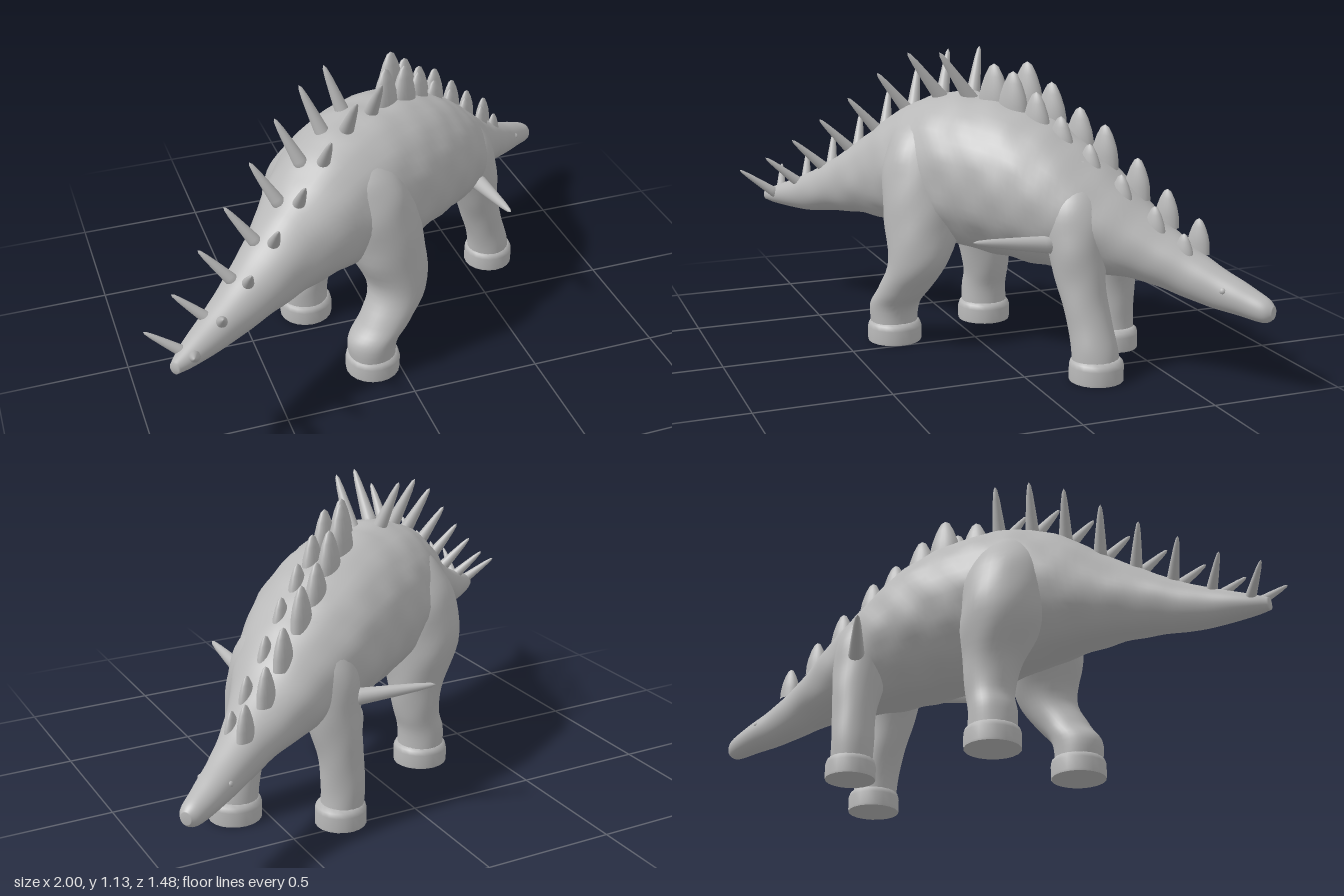
import * as THREE from 'three';

const skin = new THREE.MeshStandardMaterial({ color: 0xb8b8b8 });
skin.name = 'grey clay';

const FORWARD = new THREE.Vector3(0.82, 0, -0.57).normalize();
const SIDE = new THREE.Vector3(0.57, 0, 0.82).normalize();
const UP = new THREE.Vector3(0, 1, 0);
const X = new THREE.Vector3(1, 0, 0);
const Z = new THREE.Vector3(0, 0, 1);

// Smooth interpolation through rows of numbers
function resample(rows, steps) {
  const out = [];
  for (let s = 0; s <= steps; s++) {
    const f = (s / steps) * (rows.length - 1);
    const i = Math.min(Math.floor(f), rows.length - 2);
    const t = f - i;
    const [a, b, c, d] = [-1, 0, 1, 2].map(k => rows[THREE.MathUtils.clamp(i + k, 0, rows.length - 1)]);
    out.push(b.map((p, k) => p + 0.5 * t * (c[k] - a[k] +
      t * (2 * a[k] - 5 * p + 4 * c[k] - d[k] + t * (3 * (p - c[k]) + d[k] - a[k])))));
  }
  return out;
}

// Closed skin over elliptical rings [x, y, z, ru, rv], slightly lumpy
function loft(rows, u, v, steps, sides = 36) {
  const rings = resample(rows, steps);
  const pos = [], idx = [], p = new THREE.Vector3();
  rings.forEach(([x, y, z, ru, rv]) => {
    for (let j = 0; j < sides; j++) {
      const a = (j / sides) * Math.PI * 2;
      p.set(x, y, z).addScaledVector(u, ru * Math.cos(a)).addScaledVector(v, rv * Math.sin(a));
      const lump = 0.025 * Math.sin(p.x * 27 + 1) * Math.sin(p.y * 31) * Math.sin(p.z * 29 + 2);
      p.addScaledVector(u, ru * Math.cos(a) * lump).addScaledVector(v, rv * Math.sin(a) * lump);
      pos.push(p.x, p.y, p.z);
    }
  });
  const first = rings.length * sides, last = (rings.length - 1) * sides;
  pos.push(...rings[0].slice(0, 3), ...rings[rings.length - 1].slice(0, 3));
  for (let j = 0; j < sides; j++) {
    const k = (j + 1) % sides;
    for (let i = 0; i < rings.length - 1; i++) {
      const a = i * sides + j, b = i * sides + k;
      idx.push(a, a + sides, b, b, a + sides, b + sides);
    }
    idx.push(first, j, k, first + 1, last + k, last + j);
  }
  const g = new THREE.BufferGeometry();
  g.setAttribute('position', new THREE.Float32BufferAttribute(pos, 3));
  g.setIndex(idx);
  g.computeVertexNormals();
  return g;
}

// Unit-height profiles standing on the origin
const profile = pts => new THREE.LatheGeometry(pts.map(([r, y]) => new THREE.Vector2(r, y)), 20);
const spikeShape = profile([[0, 0], [1.1, 0], [0.92, 0.2], [0.7, 0.5], [0.45, 0.8], [0.25, 0.95], [0, 1]]);
const plateShape = profile([[1.15, 0], [1.1, 0.3], [0.95, 0.52], [0.66, 0.76], [0.33, 0.94], [0, 1]]);
const footShape = profile([[0, 0], [0.99, 0], [0.99, 0], [1, 0.1], [1, 0.65], [0.95, 0.85], [0.8, 1], [0, 1.1]]);

export function createModel() {
  const model = new THREE.Group();
  const add = (name, geometry) => {
    const m = new THREE.Mesh(geometry, skin);
    m.name = name;
    model.add(m);
    return m;
  };

  // Tail, trunk and head: x, z, top, bottom, half width
  const spine = [
    [-0.92, 0.61, 0.46, 0.415, 0.02], [-0.86, 0.565, 0.49, 0.405, 0.046],
    [-0.72, 0.47, 0.56, 0.40, 0.078], [-0.58, 0.38, 0.65, 0.42, 0.112],
    [-0.44, 0.28, 0.76, 0.43, 0.155], [-0.30, 0.18, 0.88, 0.42, 0.215],
    [-0.15, 0.07, 0.955, 0.39, 0.265], [0.00, -0.03, 0.965, 0.37, 0.285],
    [0.15, -0.13, 0.94, 0.36, 0.28], [0.28, -0.22, 0.88, 0.35, 0.265],
    [0.40, -0.30, 0.79, 0.35, 0.23], [0.50, -0.385, 0.69, 0.35, 0.185],
    [0.60, -0.46, 0.59, 0.34, 0.135], [0.70, -0.53, 0.51, 0.31, 0.095],
    [0.80, -0.60, 0.44, 0.285, 0.073], [0.90, -0.67, 0.385, 0.27, 0.057],
    [0.965, -0.71, 0.35, 0.263, 0.042], [0.99, -0.725, 0.325, 0.28, 0.02],
  ];
  add('body', loft(spine.map(([x, z, t, b, w]) => [x, (t + b) / 2, z, w, (t - b) / 2]), SIDE, UP, 102, 48));

  // Legs: x, y, z, radius
  const legs = {
    rightHindLeg: [[-0.10, 0.04, 0.30, 0.09], [-0.10, 0.14, 0.30, 0.095], [-0.04, 0.22, 0.28, 0.10],
      [0.02, 0.34, 0.24, 0.115], [-0.02, 0.5, 0.205, 0.152], [-0.06, 0.68, 0.19, 0.155],
      [-0.09, 0.81, 0.165, 0.13], [-0.11, 0.9, 0.12, 0.07]],
    leftHindLeg: [[-0.24, 0.04, -0.13, 0.09], [-0.24, 0.14, -0.13, 0.09], [-0.22, 0.22, -0.13, 0.09],
      [-0.22, 0.34, -0.12, 0.11], [-0.25, 0.5, -0.095, 0.155], [-0.24, 0.68, -0.07, 0.155],
      [-0.21, 0.81, -0.03, 0.12], [-0.18, 0.89, 0.02, 0.07]],
    rightFrontLeg: [[0.61, 0.04, -0.235, 0.085], [0.60, 0.12, -0.23, 0.085], [0.57, 0.22, -0.22, 0.082],
      [0.53, 0.35, -0.205, 0.09], [0.49, 0.5, -0.205, 0.115], [0.45, 0.64, -0.215, 0.115], [0.39, 0.77, -0.235, 0.06]],
    leftFrontLeg: [[0.29, 0.04, -0.46, 0.08], [0.28, 0.14, -0.46, 0.08], [0.29, 0.28, -0.455, 0.085],
      [0.31, 0.44, -0.43, 0.105], [0.32, 0.6, -0.395, 0.115], [0.33, 0.76, -0.335, 0.06]],
  };
  for (const [name, rows] of Object.entries(legs)) {
    add(name, loft(rows.map(([x, y, z, r]) => [x, y, z, r, r]), X, Z, 32));
    // Flat-soled foot
    const r = rows[0][3] + 0.015;
    const foot = add(name.replace('Leg', 'Foot'), footShape);
    foot.position.set(rows[0][0], 0, rows[0][2]);
    foot.scale.set(r, 0.085, r);
  }

  // Spike from a root to its tip
  const spike = (name, root, tip, radius) => {
    const a = new THREE.Vector3(...root), dir = new THREE.Vector3(...tip).sub(a);
    const m = add(name, spikeShape);
    m.position.copy(a);
    m.scale.set(radius, dir.length(), radius);
    m.quaternion.setFromUnitVectors(UP, dir.normalize());
  };

  // Paired back and tail spikes, leaning further back along the tail
  const leftY = [1.13, 1.11, 1.04, 0.93, 0.82, 0.72, 0.62, 0.55];
  const rightY = [1.13, 1.12, 1.03, 0.92, 0.82, 0.72, 0.63, 0.56];
  const lerp = THREE.MathUtils.lerp;
  for (let i = 0; i < 8; i++) {
    const t = i / 7, r = 0.031 - 0.0014 * i;
    const lx = -0.16 - 0.12 * i, lz = -0.08 + 0.086 * i;
    spike('leftSpike', [lx + lerp(0.075, 0.14, t), leftY[i] - lerp(0.24, 0.1, t), lz + lerp(0.065, 0.04, t)],
      [lx, leftY[i], lz], r);
    const rx = -0.01 - 0.123 * i, rz = 0.14 + 0.085 * i;
    spike('rightSpike', [rx + lerp(0, 0.03, t), rightY[i] - lerp(0.23, 0.115, t), rz - 0.16],
      [rx, rightY[i], rz], r);
  }

  // Long shoulder spikes
  spike('rightShoulderSpike', [0.49, 0.48, -0.14], [0.5, 0.52, 0.2], 0.033);
  spike('leftShoulderSpike', [0.28, 0.48, -0.46], [-0.03, 0.52, -0.58], 0.033);

  // Two staggered rows of plates, given by their tips
  const plates = {
    leftPlate: [[0.13, 1.10, -0.16], [0.21, 1.03, -0.225], [0.30, 0.945, -0.30], [0.39, 0.89, -0.36],
      [0.50, 0.78, -0.44], [0.60, 0.68, -0.51], [0.71, 0.59, -0.58]],
    rightPlate: [[0.07, 1.09, -0.05], [0.16, 1.07, -0.09], [0.24, 1.0, -0.15], [0.33, 0.92, -0.21],
      [0.43, 0.83, -0.28], [0.53, 0.73, -0.36], [0.64, 0.63, -0.44], [0.73, 0.545, -0.51]],
  };
  for (const [name, tips] of Object.entries(plates)) {
    tips.forEach(([x, y, z], i) => {
      const s = 1 - 0.06 * i, m = add(name, plateShape);
      m.position.set(x, y - 0.2 * s, z);
      m.scale.set(0.06 * s, 0.2 * s, 0.034 * s);
      m.rotation.y = Math.atan2(-FORWARD.z, FORWARD.x);
    });
  }

  // Small raised eyes
  for (const s of [-1, 1]) {
    const eye = add(s > 0 ? 'rightEye' : 'leftEye', new THREE.SphereGeometry(0.013, 12, 8));
    eye.position.set(0.845, 0.365, -0.632).addScaledVector(SIDE, s * 0.055);
  }
  return model;
}
